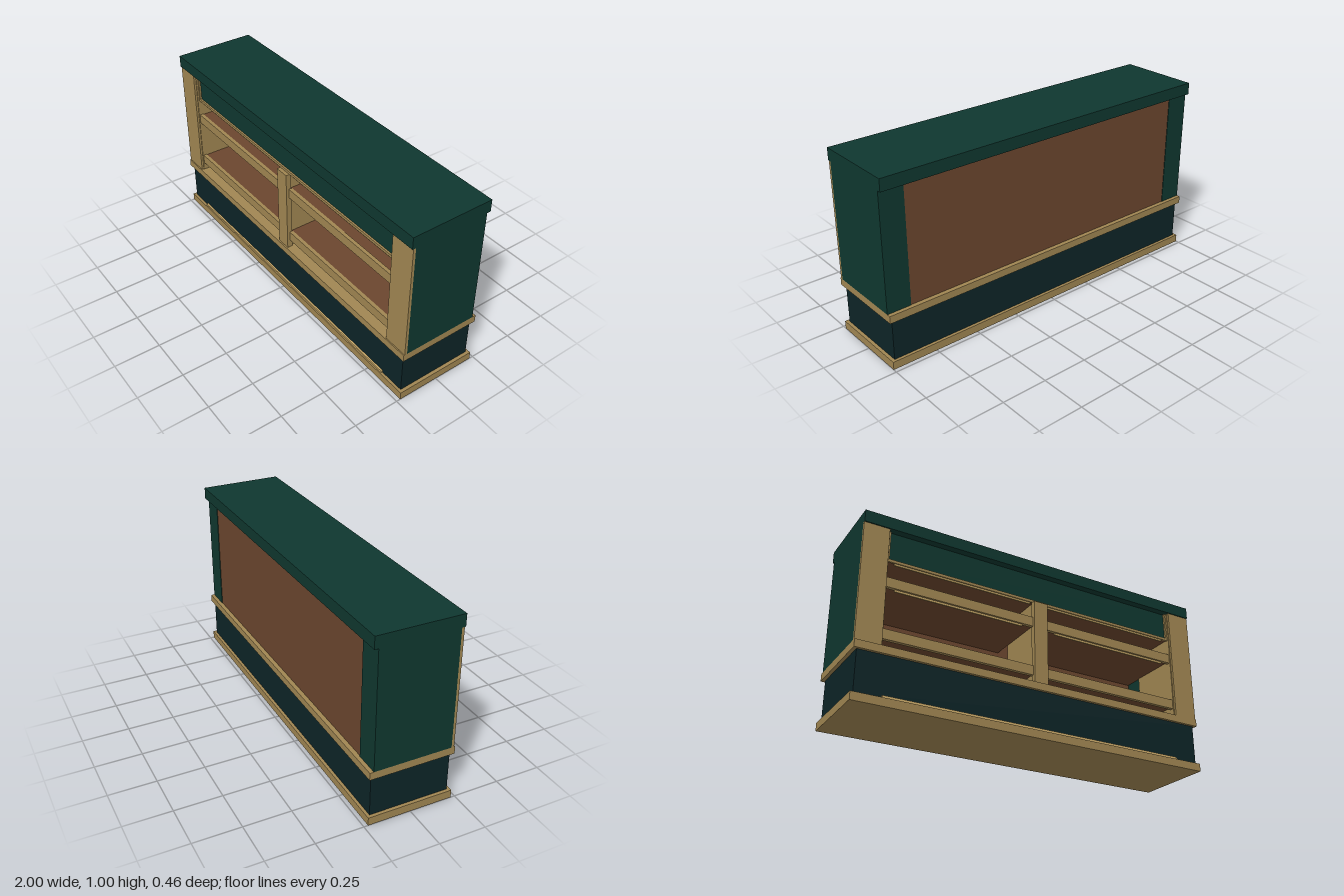
import * as THREE from 'three';

const mat = (name, color) => {
  const m = new THREE.MeshStandardMaterial({ color });
  m.name = name;
  return m;
};

export function createModel() {
  const root = new THREE.Group();
  root.name = 'barCounter';
  const green = mat('darkGreen', 0x0f372f);
  const night = mat('nearBlackTeal', 0x0d2427);
  const tan = mat('tanWood', 0xa08652);
  const brown = mat('brownWood', 0x6b462e);
  const glow = mat('paleStrip', 0xcfae6c);

  // Box given by its extents on each axis
  const box = (name, material, x0, x1, y0, y1, z0, z1, parent = root) => {
    const g = new THREE.BoxGeometry(x1 - x0, y1 - y0, z1 - z0);
    const m = new THREE.Mesh(g, material);
    m.name = name;
    m.position.set((x0 + x1) / 2, (y0 + y1) / 2, (z0 + z1) / 2);
    parent.add(m);
    return m;
  };

  // Stacked base, trim and counter top
  box('basePlinth', tan, -1, 1, 0, 0.043, -0.228, 0.228);
  box('lowerBody', night, -0.982, 0.982, 0.043, 0.26, -0.212, 0.213);
  box('baseStrip', glow, -0.845, 0.845, 0.045, 0.056, 0.213, 0.222);
  box('middleTrim', tan, -1, 1, 0.26, 0.3, -0.228, 0.228);
  box('counterTop', green, -1, 1, 0.935, 1, -0.228, 0.228);

  // Back panel and front apron
  box('backPanel', brown, -0.868, 0.868, 0.3, 0.935, -0.204, -0.19);
  box('frontApron', green, -0.85, 0.85, 0.78, 0.935, 0.17, 0.19);
  box('nicheCeiling', brown, -0.865, 0.865, 0.77, 0.78, -0.19, 0.19);
  box('ceilingEdge', tan, -0.865, 0.865, 0.766, 0.781, 0.19, 0.2);

  // Centre post and divider
  box('centrePost', tan, -0.04, 0.04, 0.3, 0.766, 0.19, 0.22);
  box('centreDivider', tan, -0.03, 0.03, 0.3, 0.77, -0.08, 0.19);

  // Both ends and both shelf bays
  for (const s of [-1, 1]) {
    const side = new THREE.Group();
    side.name = s > 0 ? 'leftHalf' : 'rightHalf';
    root.add(side);
    const part = (name, m, a, b, ...rest) =>
      box(name, m, Math.min(s * a, s * b), Math.max(s * a, s * b), ...rest, side);

    part('endCabinet', green, 0.868, 1, 0.3, 0.935, -0.207, 0.208);
    part('frontPilaster', tan, 0.865, 1, 0.3, 0.935, 0.208, 0.222);
    part('innerWall', tan, 0.86, 0.868, 0.3, 0.935, -0.08, 0.21);
    part('apronJamb', tan, 0.85, 0.86, 0.78, 0.935, 0.17, 0.2);

    // Shelves with tan front rails
    for (const [y0, y1] of [[0.345, 0.398], [0.623, 0.676]]) {
      part('shelf', brown, 0.03, 0.865, y0 + 0.012, y1 - 0.004, -0.19, 0.185);
      part('shelfRail', tan, 0.04, 0.865, y0, y1, 0.185, 0.205);
    }
    // Pale strips under the upper rail and the ceiling
    part('shelfStrip', glow, 0.1, 0.81, 0.613, 0.623, 0.186, 0.194);
    part('ceilingStrip', glow, 0.05, 0.82, 0.757, 0.766, 0.186, 0.194);
  }
  return root;
}
